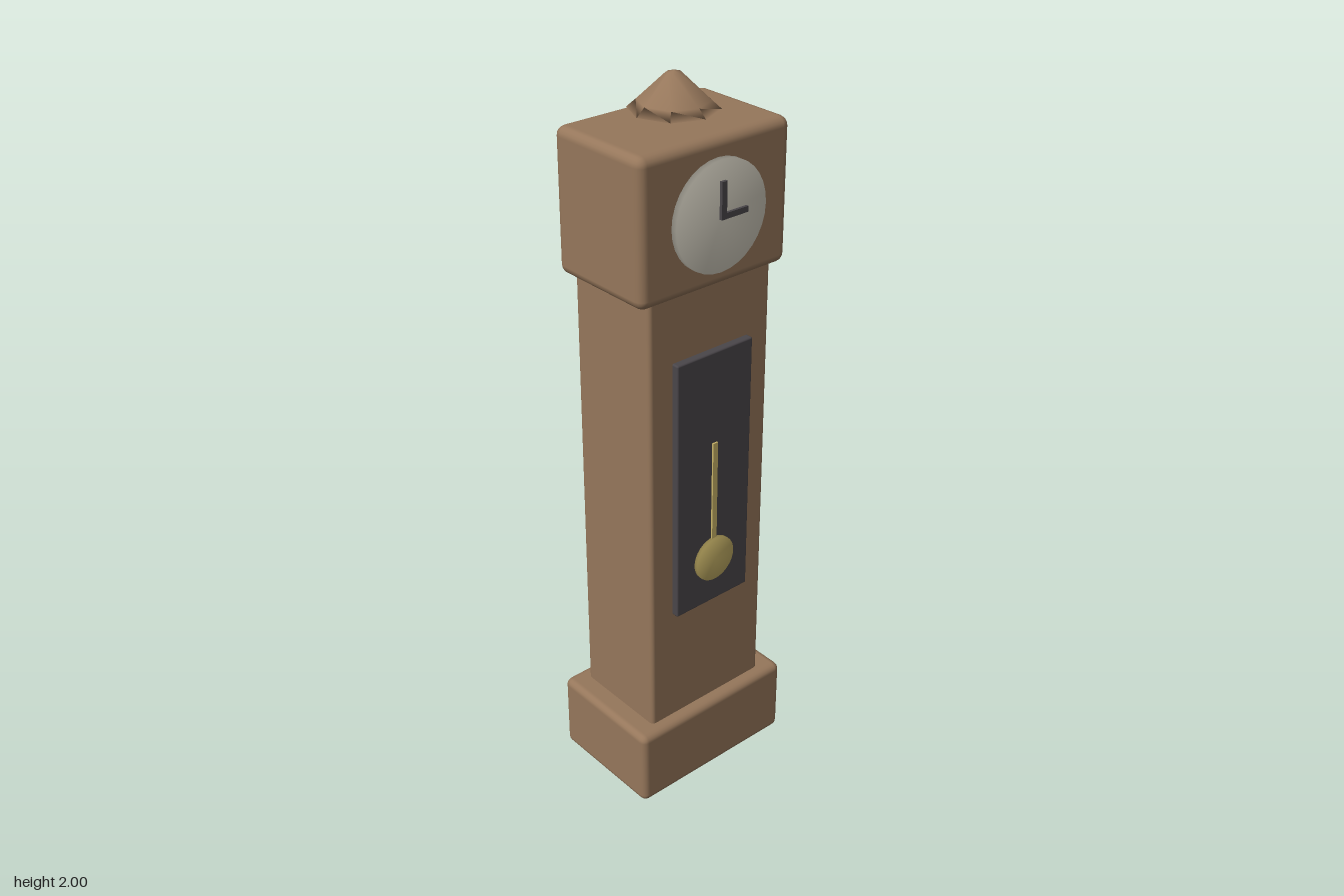
import * as THREE from 'three';
import { RoundedBoxGeometry } from 'three/addons/geometries/RoundedBoxGeometry.js';

const paint = (name, color) => {
  const m = new THREE.MeshStandardMaterial({ color });
  m.name = name;
  return m;
};

export function createModel() {
  const clock = new THREE.Group();
  clock.name = 'longcaseClock';
  const wood = paint('brownWood', 0x96775b);
  const dark = paint('darkPanel', 0x4a464a);
  const cream = paint('creamDial', 0xd8d3c4);
  const brass = paint('brass', 0xc9b468);

  const add = (name, geometry, material) => {
    const mesh = new THREE.Mesh(geometry, material);
    mesh.name = name;
    clock.add(mesh);
    return mesh;
  };
  // Box given by its limits on each axis; a radius softens its edges
  const box = (name, material, [x0, x1], [y0, y1], [z0, z1], radius = 0) => {
    const size = [x1 - x0, y1 - y0, z1 - z0];
    const geometry = radius
      ? new RoundedBoxGeometry(...size, 2, radius)
      : new THREE.BoxGeometry(...size);
    add(name, geometry, material)
      .position.set((x0 + x1) / 2, (y0 + y1) / 2, (z0 + z1) / 2);
  };
  // Round plate facing the front, softly shaded towards its rim
  const disc = (name, material, radius, y, z0, z1) => {
    const profile = [[0, z0], [radius, z0], [radius, z1], [0, z1]]
      .map(([r, h]) => new THREE.Vector2(r, h));
    const geometry = new THREE.LatheGeometry(profile, 32).rotateX(Math.PI / 2);
    add(name, geometry, material).position.y = y;
  };

  // Case
  box('plinth', wood, [-0.259, 0.259], [0, 0.23], [-0.182, 0.175], 0.02);
  box('trunk', wood, [-0.198, 0.198], [0.2, 1.53], [-0.145, 0.139], 0.012);
  box('hood', wood, [-0.236, 0.236], [1.503, 1.88], [-0.163, 0.156], 0.025);

  // Eight-sided finial hovering just above the hood
  const finial = [[0, 1.91], [0.113, 1.91], [0.09, 1.93], [0.02, 1.995], [0, 2]]
    .map(([r, y]) => new THREE.Vector2(r, y));
  add('finial', new THREE.LatheGeometry(finial, 8), wood);

  // Dial and hands
  disc('dial', cream, 0.142, 1.69, 0.15, 0.173);
  box('hourHand', dark, [-0.008, 0.077], [1.685, 1.7], [0.17, 0.181]);
  box('minuteHand', dark, [-0.008, 0.008], [1.685, 1.78], [0.17, 0.1815]);

  // Pendulum window
  box('windowPanel', dark, [-0.125, 0.125], [0.574, 1.33], [0.13, 0.159], 0.005);
  box('pendulumRod', brass, [-0.008, 0.008], [0.715, 1.07], [0.155, 0.164]);
  disc('pendulumBob', brass, 0.065, 0.715, 0.152, 0.169);

  return clock;
}
